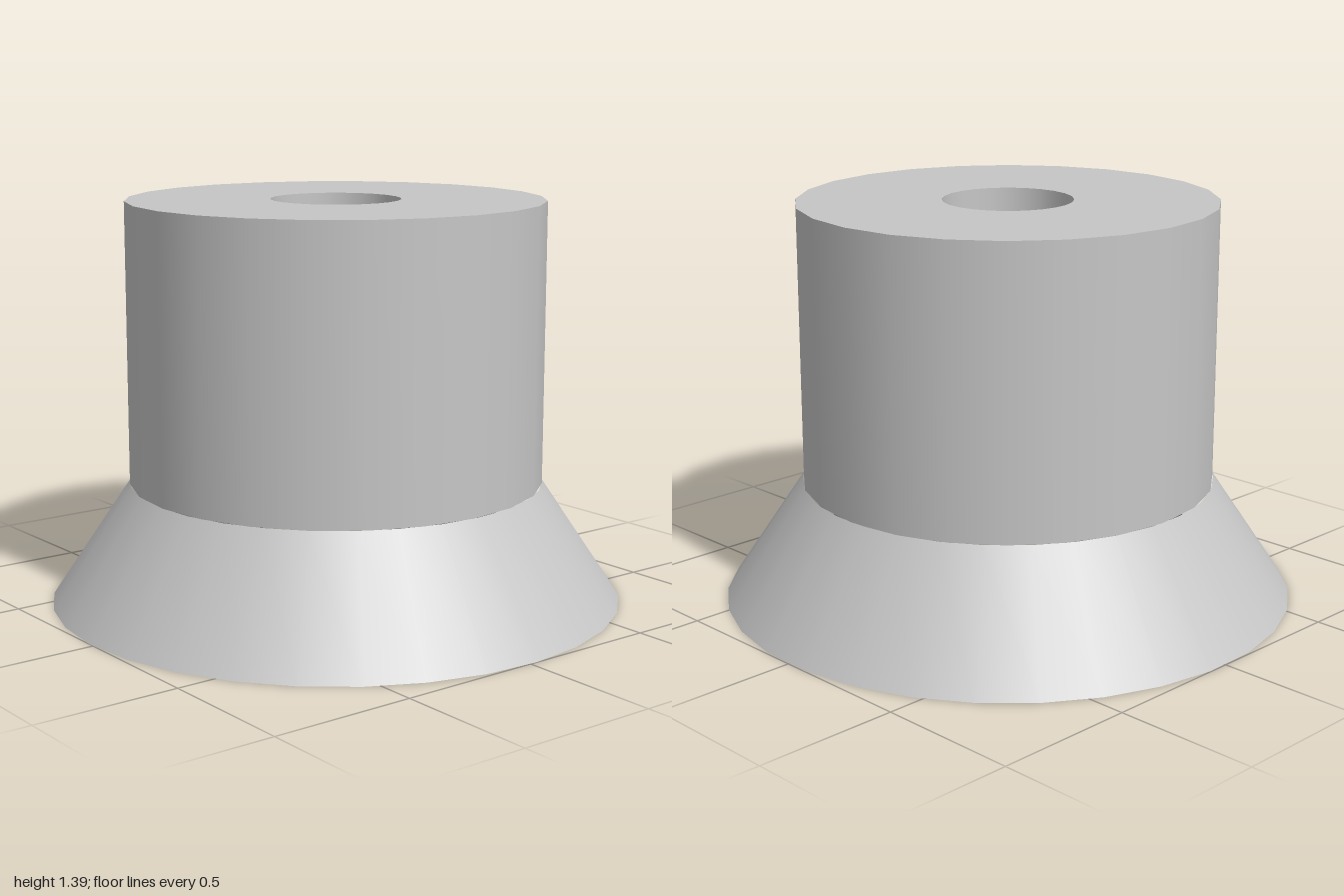
import * as THREE from 'three';

export function createModel() {
  const group = new THREE.Group();
  const grey = new THREE.MeshStandardMaterial({ color: 0xc6c6c6 });
  grey.name = 'light grey';

  // Revolves one straight wall; separate walls keep the edges between them sharp.
  const wall = (name, sides, from, to) => {
    const points = [new THREE.Vector2(...from), new THREE.Vector2(...to)];
    const mesh = new THREE.Mesh(new THREE.LatheGeometry(points, sides), grey);
    mesh.name = name;
    group.add(mesh);
    return mesh;
  };

  const rim = [1, 0], neck = [0.722, 0.415], top = [0.722, 1.395];
  const holeTop = [0.225, 1.395], holeBottom = [0.225, 0.57], rimInner = [0.89, 0];

  // Outside: flared skirt, straight body and flat top
  const skirt = wall('skirt', 31, rim, neck);
  wall('body', 24, neck, top);
  wall('topFace', 24, top, holeTop);

  // Inside: through hole opening into a conical hollow
  wall('hole', 24, holeTop, holeBottom);
  const hollow = wall('hollow', 31, holeBottom, rimInner);
  const lip = wall('lip', 31, rimInner, rim);

  // Skirt facets start at the left side
  for (const part of [skirt, hollow, lip]) part.rotation.y = Math.PI / 2 + 0.03;

  return group;
}
